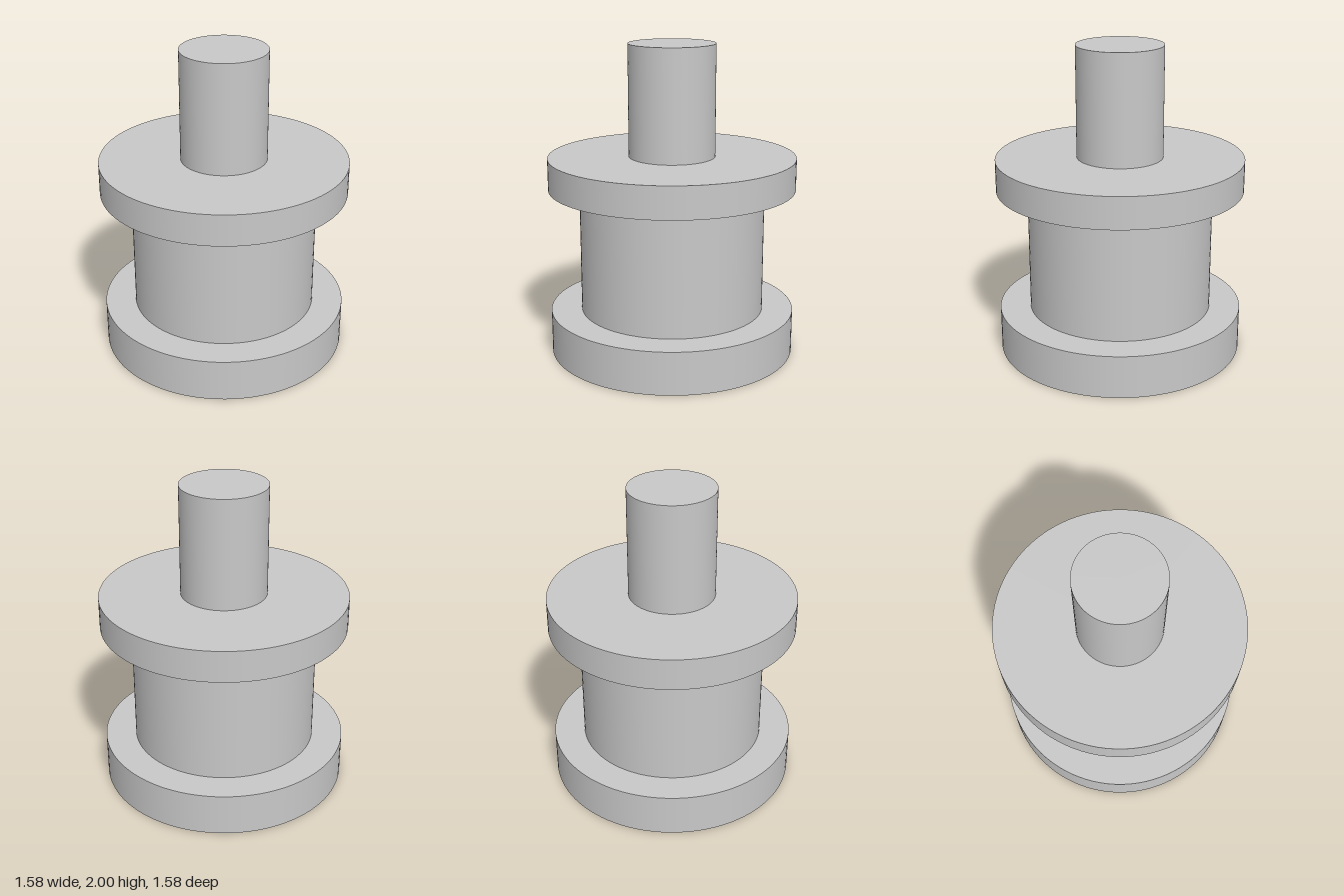
import * as THREE from 'three';

const SEGMENTS = 96;

export function createModel() {
  const model = new THREE.Group();
  model.name = 'flangedSpool';

  const greyMetal = new THREE.MeshStandardMaterial({ color: 0xc8c8c8 });
  greyMetal.name = 'grey metal';

  // Coaxial round sections, stacked from the ground up
  const sections = [
    { name: 'bottomFlange', radius: 0.791, bottom: 0, top: 0.278 },
    { name: 'drum', radius: 0.593, bottom: 0.278, top: 1.083 },
    { name: 'topFlange', radius: 0.791, bottom: 1.083, top: 1.286 },
    { name: 'shaft', radius: 0.276, bottom: 1.286, top: 2 },
  ];

  for (const { name, radius, bottom, top } of sections) {
    const geometry = new THREE.CylinderGeometry(radius, radius, top - bottom, SEGMENTS);
    const mesh = new THREE.Mesh(geometry, greyMetal);
    mesh.name = name;
    mesh.position.y = (bottom + top) / 2;
    model.add(mesh);
  }

  return model;
}
